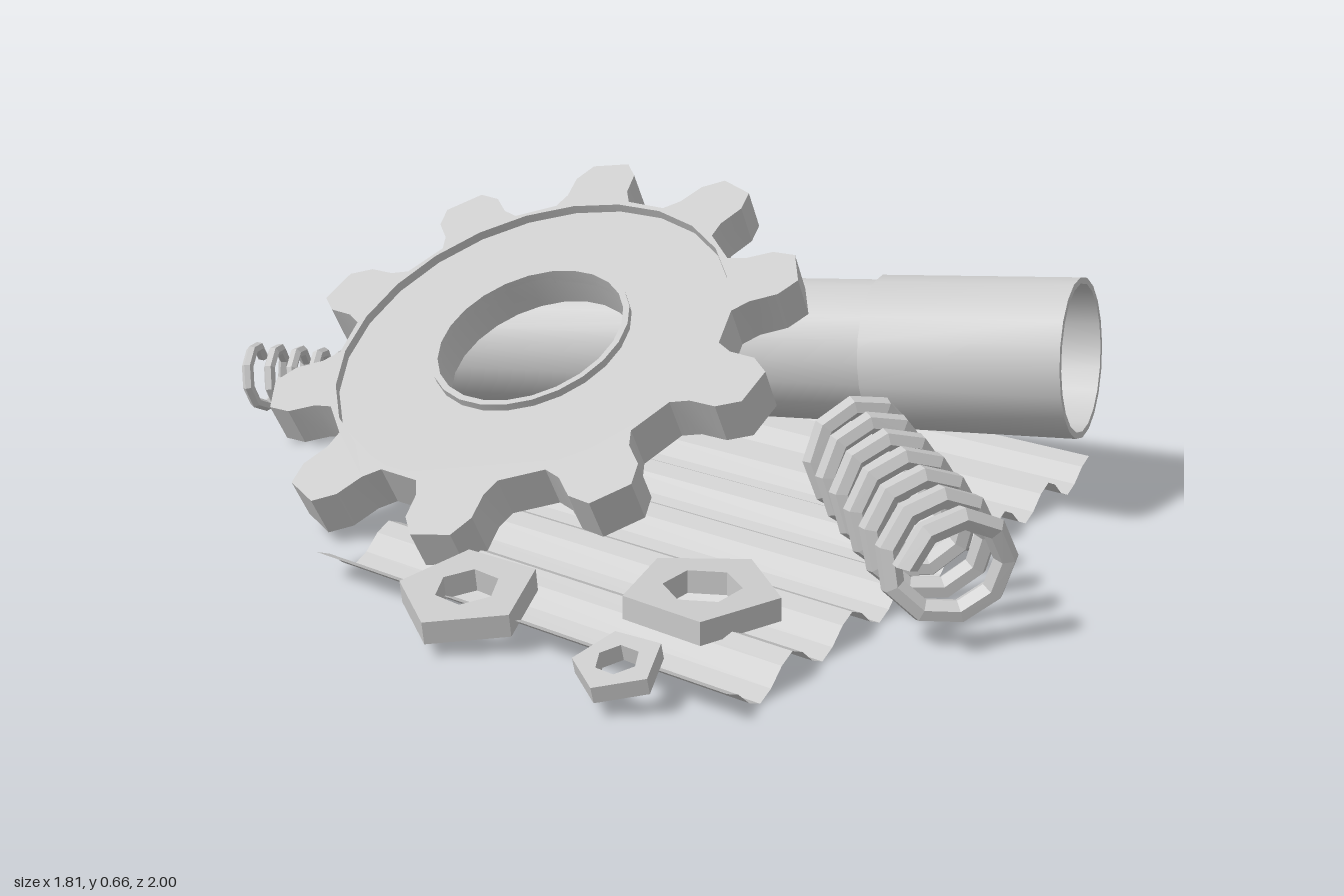
import * as THREE from 'three';
import { toCreasedNormals } from 'three/addons/utils/BufferGeometryUtils.js';

const V = (x, y, z) => new THREE.Vector3(x, y, z);
const smooth = new THREE.MeshStandardMaterial({ color: 0xcccccc });
const flat = new THREE.MeshStandardMaterial({ color: 0xcccccc, flatShading: true });
const thin = new THREE.MeshStandardMaterial({ color: 0xcccccc, flatShading: true, side: THREE.DoubleSide });

function add(parent, name, geometry, material) {
  const mesh = new THREE.Mesh(geometry, material);
  mesh.name = name;
  parent.add(mesh);
  return mesh;
}

// Points of a regular polygon in the XY plane
function ring(sides, radius, phase = 0) {
  return Array.from({ length: sides }, (_, i) => {
    const a = phase + (i / sides) * Math.PI * 2;
    return new THREE.Vector2(Math.cos(a) * radius, Math.sin(a) * radius);
  });
}

// Outline with a hole, extruded from z = 0 to z = depth
function plate(outline, hole, depth) {
  const shape = new THREE.Shape(outline);
  shape.holes.push(new THREE.Path(hole));
  return new THREE.ExtrudeGeometry(shape, { depth, bevelEnabled: false });
}

// Corrugated sheet lying on the ground
function buildSheet(parent) {
  const width = 1.478, waves = 7;
  const geo = new THREE.PlaneGeometry(width, 1.06, waves * 6, 1).rotateX(-Math.PI / 2);
  const p = geo.attributes.position;
  for (let i = 0; i < p.count; i++) {
    const t = p.getX(i) / width + 0.5;
    p.setY(i, 0.0325 + 0.0325 * Math.cos(t * waves * Math.PI * 2));
  }
  const sheet = add(parent, 'corrugatedSheet', geo, thin);
  sheet.rotation.y = 0.544;
  sheet.position.set(0, 0, 0.163);
}

// Hollow pipe with a wider collar at its front end
function buildPipe(parent) {
  const back = V(-0.41, 0.2, -0.89), front = V(0.757, 0.378, 0.397);
  const axis = front.clone().sub(back), length = axis.length();
  const step = length - 0.465;
  const profile = [
    [0.153, 0], [0.163, 0], [0.168, step], [0.179, step],
    [0.181, length], [0.167, length], [0.153, 0],
  ].map(([r, y]) => new THREE.Vector2(r, y));
  const geo = toCreasedNormals(new THREE.LatheGeometry(profile, 20), 0.6);
  const pipe = add(parent, 'pipe', geo, smooth);
  pipe.position.copy(back);
  pipe.quaternion.setFromUnitVectors(V(0, 1, 0), axis.normalize());
}

// Tilted sprocket: toothed ring around a recessed disc with a lipped bore
function buildGear(parent) {
  const teeth = 10;
  const half = [[0.205, 0.487], [0.155, 0.525], [0.135, 0.59], [0.075, 0.636]];
  const tooth = [...half.map(([a, r]) => [-a, r]), ...half.slice().reverse()];
  const outline = [];
  for (let i = 0; i < teeth; i++) {
    for (const [a, r] of tooth) {
      const angle = a + (i / teeth) * Math.PI * 2;
      outline.push(new THREE.Vector2(Math.cos(angle) * r, Math.sin(angle) * r));
    }
  }
  const gear = new THREE.Group();
  gear.name = 'gear';
  const part = (name, outer, inner, from, to) => {
    const geo = toCreasedNormals(plate(outer, inner, to - from), 0.4);
    add(gear, name, geo, smooth).position.z = from;
  };
  part('gearTeeth', outline, ring(24, 0.474), -0.1, 0);
  part('gearDisc', ring(24, 0.476), ring(24, 0.225), -0.1, -0.022);
  part('boreLip', ring(24, 0.24), ring(24, 0.225), -0.04, -0.004);

  const normal = V(-0.384, 0.895, 0.228).normalize();
  const xAxis = V(0.045, 0.272, -1).projectOnPlane(normal).normalize();
  const yAxis = normal.clone().cross(xAxis);
  gear.quaternion.setFromRotationMatrix(new THREE.Matrix4().makeBasis(xAxis, yAxis, normal));
  gear.position.set(-0.327, 0.387, -0.23);
  parent.add(gear);
}

class Helix extends THREE.Curve {
  constructor(radius, length, turns, phase) {
    super();
    Object.assign(this, { radius, length, turns, phase });
  }
  getPoint(t, target = new THREE.Vector3()) {
    const a = this.phase + t * this.turns * Math.PI * 2;
    return target.set(Math.cos(a) * this.radius, Math.sin(a) * this.radius, t * this.length);
  }
}

// Coil spring running between two points, with capped wire ends
function buildSpring(parent, name, from, to, radius, wire, turns, phase) {
  const axis = to.clone().sub(from);
  const curve = new Helix(radius, axis.length(), turns, phase);
  const spring = new THREE.Group();
  spring.name = name;
  add(spring, 'coil', new THREE.TubeGeometry(curve, Math.round(turns * 9), wire, 6), flat);
  for (const [t, sign] of [[0, -1], [1, 1]]) {
    const cap = add(spring, 'wireEnd', new THREE.CircleGeometry(wire, 6), flat);
    cap.position.copy(curve.getPointAt(t));
    cap.quaternion.setFromUnitVectors(V(0, 0, 1), curve.getTangentAt(t).multiplyScalar(sign));
  }
  spring.position.copy(from);
  spring.quaternion.setFromUnitVectors(V(0, 0, 1), axis.normalize());
  parent.add(spring);
}

// Five-sided nut with a six-sided hole
function buildNut(parent, { at, radius, hole, depth, phase = 0, tilt = [0, 0] }) {
  const geo = plate(ring(5, radius, phase), ring(6, hole, phase), depth);
  geo.translate(0, 0, -depth / 2).rotateX(Math.PI / 2);
  const nut = add(parent, 'nut', geo, flat);
  nut.position.set(...at);
  nut.rotation.set(tilt[0], 0, tilt[1]);
}

export function createModel() {
  const model = new THREE.Group();
  model.name = 'scrapPile';
  buildSheet(model);
  buildPipe(model);
  buildGear(model);
  buildSpring(model, 'largeSpring', V(0.145, 0.182, 0.94), V(0.265, 0.19, 0.275), 0.112, 0.025, 6.4, 0.4);
  buildSpring(model, 'smallSpring', V(-0.872, 0.17, -0.81), V(-0.58, 0.17, -0.6), 0.073, 0.014, 6.2, 0.4);
  const nuts = [
    { at: [-0.68, 0.075, 0.45], radius: 0.143, hole: 0.065, depth: 0.05, tilt: [0.1, 0.1] },
    { at: [-0.255, 0.08, 0.637], radius: 0.163, hole: 0.08, depth: 0.05, phase: -0.52 },
    { at: [-0.505, 0.07, 0.835], radius: 0.088, hole: 0.043, depth: 0.035, tilt: [0.12, 0.2] },
    { at: [0.485, 0.085, -0.51], radius: 0.163, hole: 0.075, depth: 0.06, phase: 0.03, tilt: [-0.14, -0.22] },
  ];
  nuts.forEach((nut) => buildNut(model, nut));
  return model;
}
